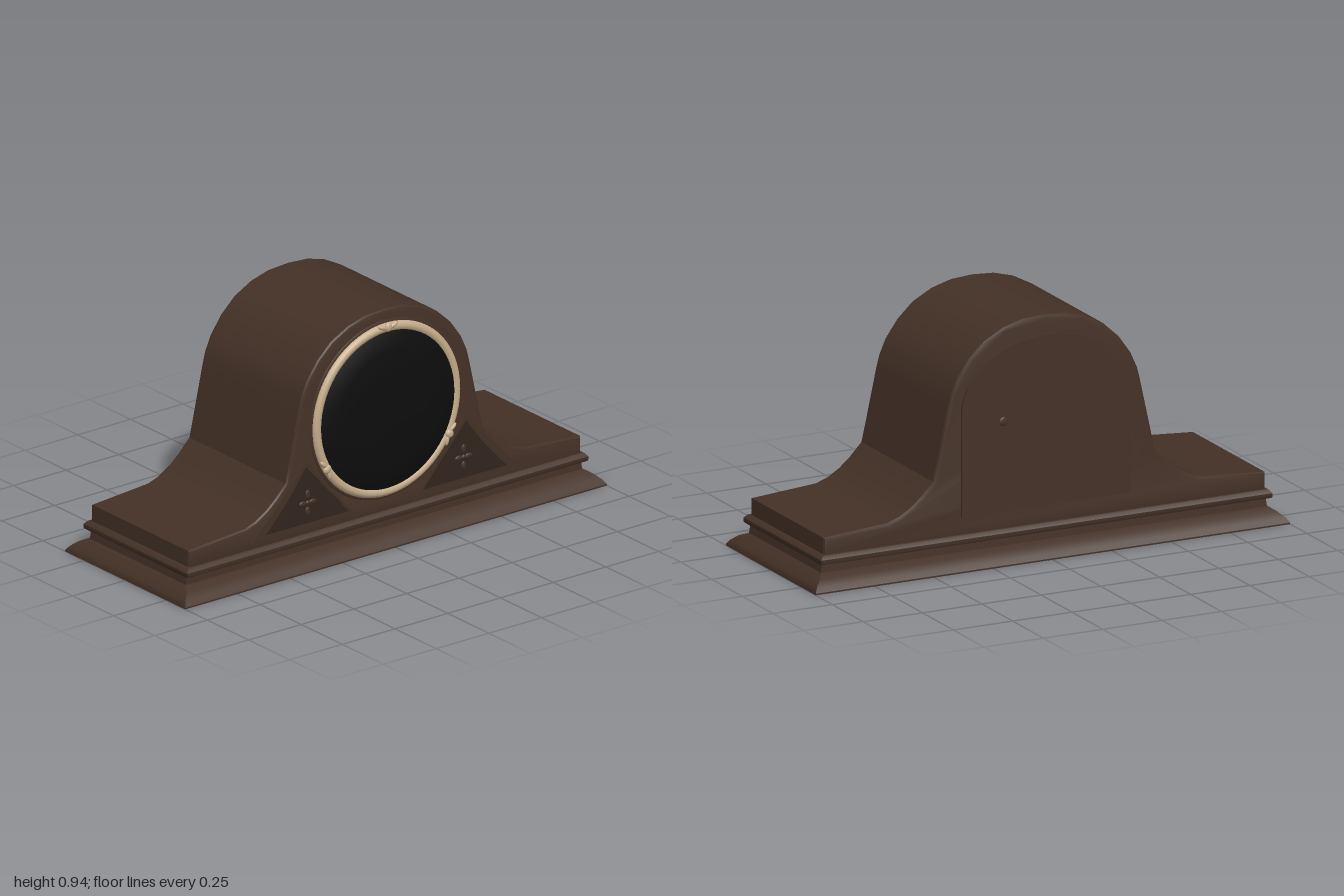
import * as THREE from 'three';
import { toCreasedNormals } from 'three/addons/utils/BufferGeometryUtils.js';

const wood = new THREE.MeshStandardMaterial({ name: 'walnut', color: 0x443126 });
const darkWood = new THREE.MeshStandardMaterial({ name: 'dark walnut', color: 0x33251d });
const black = new THREE.MeshStandardMaterial({ name: 'black dial', color: 0x0d0d0d });
const brass = new THREE.MeshStandardMaterial({ name: 'pale brass', color: 0xc6ad8b });

const FACE_Y = 0.54;

function add(parent, name, geometry, material, x = 0, y = 0, z = 0) {
  const mesh = new THREE.Mesh(geometry, material);
  mesh.name = name;
  mesh.position.set(x, y, z);
  parent.add(mesh);
  return mesh;
}

// Stacks rectangles [half x, half z, y] into a closed moulding
function rectangularLoft(sections) {
  const corner = ([x, z, y], i) => {
    const [sx, sz] = [[-1, 1], [1, 1], [1, -1], [-1, -1]][i % 4];
    return [sx * x, y, sz * z];
  };
  const pos = [];
  const quad = (a, b, c, d) => pos.push(...a, ...b, ...c, ...a, ...c, ...d);
  for (let k = 0; k + 1 < sections.length; k++) {
    const lo = sections[k], hi = sections[k + 1];
    for (let i = 0; i < 4; i++) quad(corner(lo, i), corner(lo, i + 1), corner(hi, i + 1), corner(hi, i));
  }
  const top = sections[sections.length - 1], bottom = sections[0];
  quad(...[0, 1, 2, 3].map((i) => corner(top, i)));
  quad(...[3, 2, 1, 0].map((i) => corner(bottom, i)));
  const g = new THREE.BufferGeometry();
  g.setAttribute('position', new THREE.Float32BufferAttribute(pos, 3));
  return toCreasedNormals(g, 0.6);
}

function plate(shape, depth) {
  return new THREE.ExtrudeGeometry(shape, { depth, bevelEnabled: false, curveSegments: 24 });
}

// Lathe whose axis points to the front
function frontLathe(points, segments = 64) {
  return new THREE.LatheGeometry(points.map(([r, h]) => new THREE.Vector2(r, h)), segments).rotateX(Math.PI / 2);
}

function ellipsoid(rx, ry, rz) {
  return new THREE.SphereGeometry(1, 14, 10).scale(rx, ry, rz);
}

// Hump-shaped case with low sloping wings
function caseGeometry() {
  const half = [[0.93, 0.12], [0.93, 0.195], [0.66, 0.215], [0.61, 0.232], [0.56, 0.262], [0.515, 0.3],
    [0.467, 0.35], [0.45, 0.425], [0.405, 0.63], [0.392, 0.68], [0.365, 0.74], [0.315, 0.81], [0.25, 0.87],
    [0.17, 0.912], [0.09, 0.934]];
  const outline = [...half, [0, 0.94], ...half.map(([x, y]) => [-x, y]).reverse()];
  const shape = new THREE.Shape(outline.map(([x, y]) => new THREE.Vector2(x, y)));
  const g = new THREE.ExtrudeGeometry(shape, {
    depth: 0.58, bevelThickness: 0.01, bevelSize: 0.014, bevelOffset: -0.014, bevelSegments: 2,
  });
  return toCreasedNormals(g.translate(0, 0, -0.29), 0.5);
}

// Triangle beside the dial, with a slightly hollow outer edge
function spandrel(s, left, right, bottom, top, PathType) {
  const p = new PathType();
  p.moveTo(s * left, bottom);
  p.lineTo(s * right, bottom);
  p.lineTo(s * 0.38, top);
  p.quadraticCurveTo(s * (0.38 + left) / 2.03, (bottom + top) / 2 - 0.015, s * left, bottom);
  return p;
}

export function createModel() {
  const model = new THREE.Group();
  model.name = 'mantelClock';

  // Stepped plinth
  add(model, 'plinth', rectangularLoft([
    [1, 0.365, 0], [1, 0.365, 0.006], [0.988, 0.352, 0.024], [0.965, 0.328, 0.045], [0.94, 0.292, 0.06],
    [0.935, 0.29, 0.096], [0.948, 0.313, 0.096], [0.951, 0.316, 0.102], [0.951, 0.316, 0.115],
    [0.94, 0.305, 0.128], [0.935, 0.302, 0.13],
  ]), wood);

  add(model, 'case', caseGeometry(), wood);

  // Carved spandrels with a four-petal flower
  for (const s of [-1, 1]) {
    const group = new THREE.Group();
    group.name = s > 0 ? 'leftSpandrel' : 'rightSpandrel';
    model.add(group);
    add(group, 'spandrelPanel', plate(spandrel(s, 0.58, 0.165, 0.168, 0.405, THREE.Shape), 0.003), darkWood, 0, 0, 0.299);
    const rim = spandrel(s, 0.64, 0.15, 0.156, 0.425, THREE.Shape);
    rim.holes.push(spandrel(s, 0.575, 0.175, 0.17, 0.4, THREE.Path));
    add(group, 'spandrelRim', plate(rim, 0.006), wood, 0, 0, 0.299);
    const cx = s * 0.37, cy = 0.253;
    add(group, 'flowerCentre', ellipsoid(0.01, 0.01, 0.006), wood, cx, cy, 0.302);
    for (let i = 0; i < 4; i++) {
      const a = i * Math.PI / 2;
      const r = i % 2 ? 0.034 : 0.024;
      const petal = add(group, 'petal', ellipsoid(0.018, 0.011, 0.005), wood,
        cx + r * Math.cos(a), cy + r * Math.sin(a), 0.302);
      petal.rotation.z = a;
    }
  }

  // Dial surround, bezel and domed dial
  add(model, 'dialSurround', frontLathe([[0.36, 0], [0.357, 0.005], [0.34, 0.006]]), wood, 0, FACE_Y, 0.299);
  add(model, 'bezel', frontLathe([[0.349, 0], [0.349, 0.008], [0.343, 0.016], [0.332, 0.021], [0.32, 0.018],
    [0.311, 0.01], [0.308, 0]]), brass, 0, FACE_Y, 0.3);
  add(model, 'dial', frontLathe([[0.322, 0], [0.315, 0.016], [0.24, 0.028], [0.16, 0.037], [0, 0.038]]),
    black, 0, FACE_Y, 0.3);

  // Three leafy bosses on the bezel
  for (const angle of [90, 210, 330]) {
    const a = THREE.MathUtils.degToRad(angle);
    const boss = new THREE.Group();
    boss.name = 'bezelBoss';
    boss.position.set(0.335 * Math.cos(a), FACE_Y + 0.335 * Math.sin(a), 0.318);
    boss.rotation.z = a - Math.PI / 2;
    model.add(boss);
    add(boss, 'bossBead', ellipsoid(0.017, 0.019, 0.011), brass);
    for (const s of [-1, 1]) {
      const leaf = add(boss, 'bossLeaf', ellipsoid(0.022, 0.009, 0.008), brass, s * 0.026, 0.002, -0.001);
      leaf.rotation.z = s * 0.35;
    }
  }

  // Arched back door and its small knob
  const door = new THREE.Shape();
  door.moveTo(-0.355, 0.2);
  door.lineTo(0.355, 0.2);
  door.lineTo(0.355, 0.6);
  door.absellipse(0, 0.6, 0.355, 0.265, 0, Math.PI, false);
  door.lineTo(-0.355, 0.2);
  add(model, 'backDoor', toCreasedNormals(plate(door, 0.012), 0.5), wood, 0, 0, -0.31);
  add(model, 'doorKnob', ellipsoid(0.018, 0.018, 0.005), wood, 0.18, 0.55, -0.31);

  return model;
}
